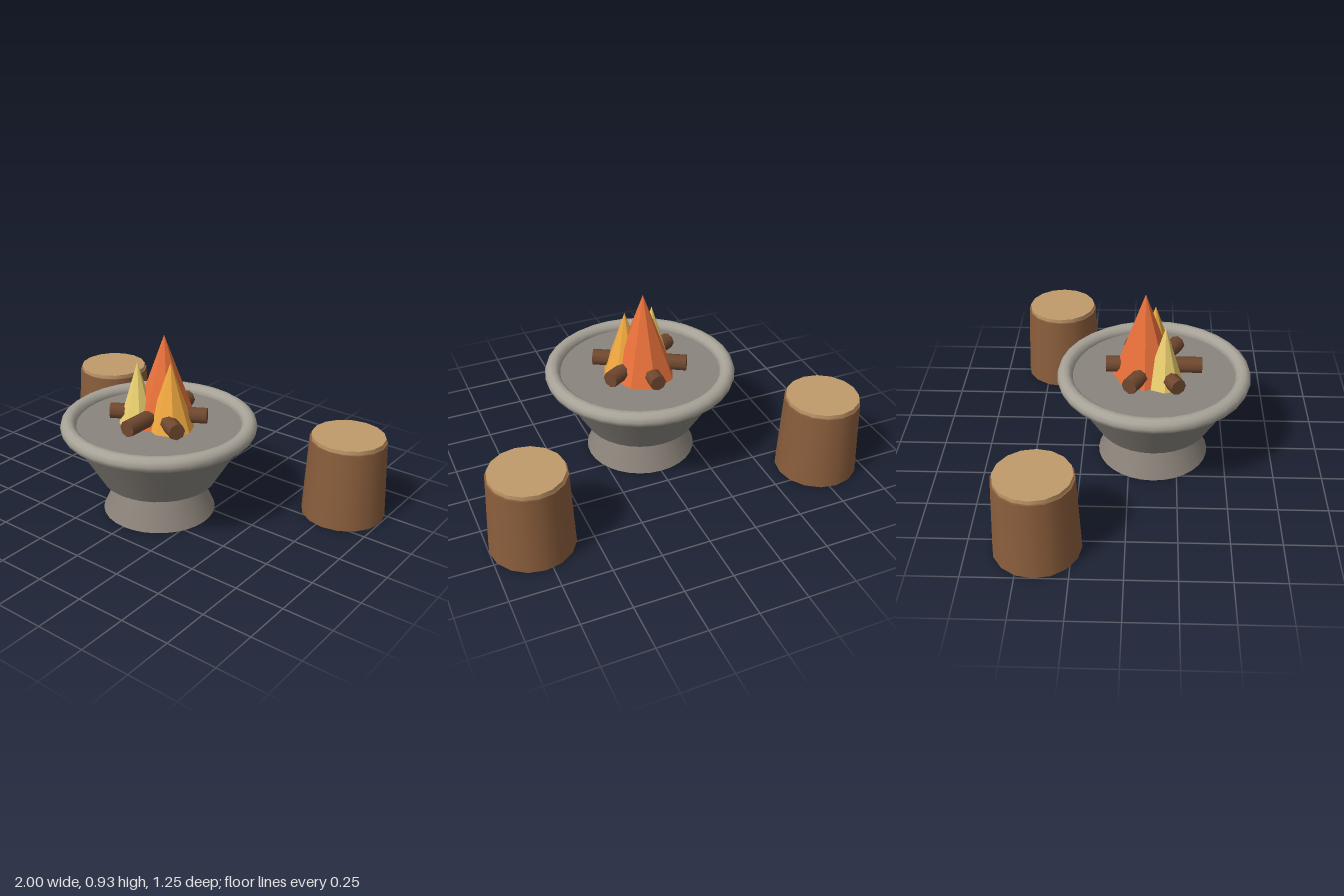
import * as THREE from 'three';

const material = (color, flatShading = false) =>
  new THREE.MeshStandardMaterial({ color, flatShading });

function addMesh(parent, name, geometry, mat, x = 0, y = 0, z = 0) {
  const mesh = new THREE.Mesh(geometry, mat);
  mesh.name = name;
  mesh.position.set(x, y, z);
  parent.add(mesh);
  return mesh;
}

// Tapered cylinder standing between two heights
function addDrum(parent, name, rTop, rBottom, y0, y1, sides, mat) {
  const geometry = new THREE.CylinderGeometry(rTop, rBottom, y1 - y0, sides);
  return addMesh(parent, name, geometry, mat, 0, (y0 + y1) / 2, 0);
}

export function createModel() {
  const model = new THREE.Group();
  model.name = 'firePitWithStools';

  const stone = material(0x8a8279);
  const bowlStone = material(0x8a857e);
  const rimStone = material(0xa8a398);
  const bark = material(0x8b5e3c);
  const cutWood = material(0xc19a6b);
  const logWood = material(0x70482f);

  // Fire pit: flared pedestal, bowl and rounded rim
  const pit = new THREE.Group();
  pit.name = 'firePit';
  pit.position.z = 0.125;
  model.add(pit);
  addDrum(pit, 'pedestal', 0.21, 0.29, 0, 0.18, 32, stone);
  addDrum(pit, 'bowl', 0.47, 0.295, 0.18, 0.472, 32, bowlStone);
  const rim = addMesh(pit, 'rim', new THREE.TorusGeometry(0.457, 0.04, 10, 32), rimStone, 0, 0.472, 0);
  rim.rotation.x = Math.PI / 2;

  // Six logs laid out like spokes
  const logs = new THREE.Group();
  logs.name = 'logs';
  pit.add(logs);
  const logGeometry = new THREE.CylinderGeometry(0.042, 0.042, 0.2, 8).rotateX(Math.PI / 2);
  for (let i = 0; i < 6; i++) {
    const a = (i * Math.PI) / 3;
    const log = addMesh(logs, 'log', logGeometry, logWood, 0.145 * Math.sin(a), 0.527, 0.145 * Math.cos(a));
    log.rotation.y = a;
  }

  // Three cone flames: x, z, base radius, tip height, colour
  const flames = new THREE.Group();
  flames.name = 'flames';
  model.add(flames);
  const base = 0.472;
  for (const [x, z, r, tip, color] of [
    [0, 0.08, 0.165, 0.93, 0xe8703a],
    [0.08, 0.13, 0.118, 0.82, 0xf0a840],
    [-0.09, 0.18, 0.096, 0.797, 0xecd070],
  ]) {
    const geometry = new THREE.ConeGeometry(r, tip - base, 8);
    addMesh(flames, 'flame', geometry, material(color, true), x, (base + tip) / 2, z);
  }

  // Stump stools behind the pit, one on each side
  for (const side of [-1, 1]) {
    const stool = new THREE.Group();
    stool.name = side > 0 ? 'leftStool' : 'rightStool';
    stool.position.set(side * 0.786, 0, -0.415);
    addDrum(stool, 'stump', 0.195, 0.214, 0, 0.412, 16, bark);
    addDrum(stool, 'seat', 0.186, 0.186, 0.4, 0.432, 16, cutWood);
    model.add(stool);
  }

  return model;
}
